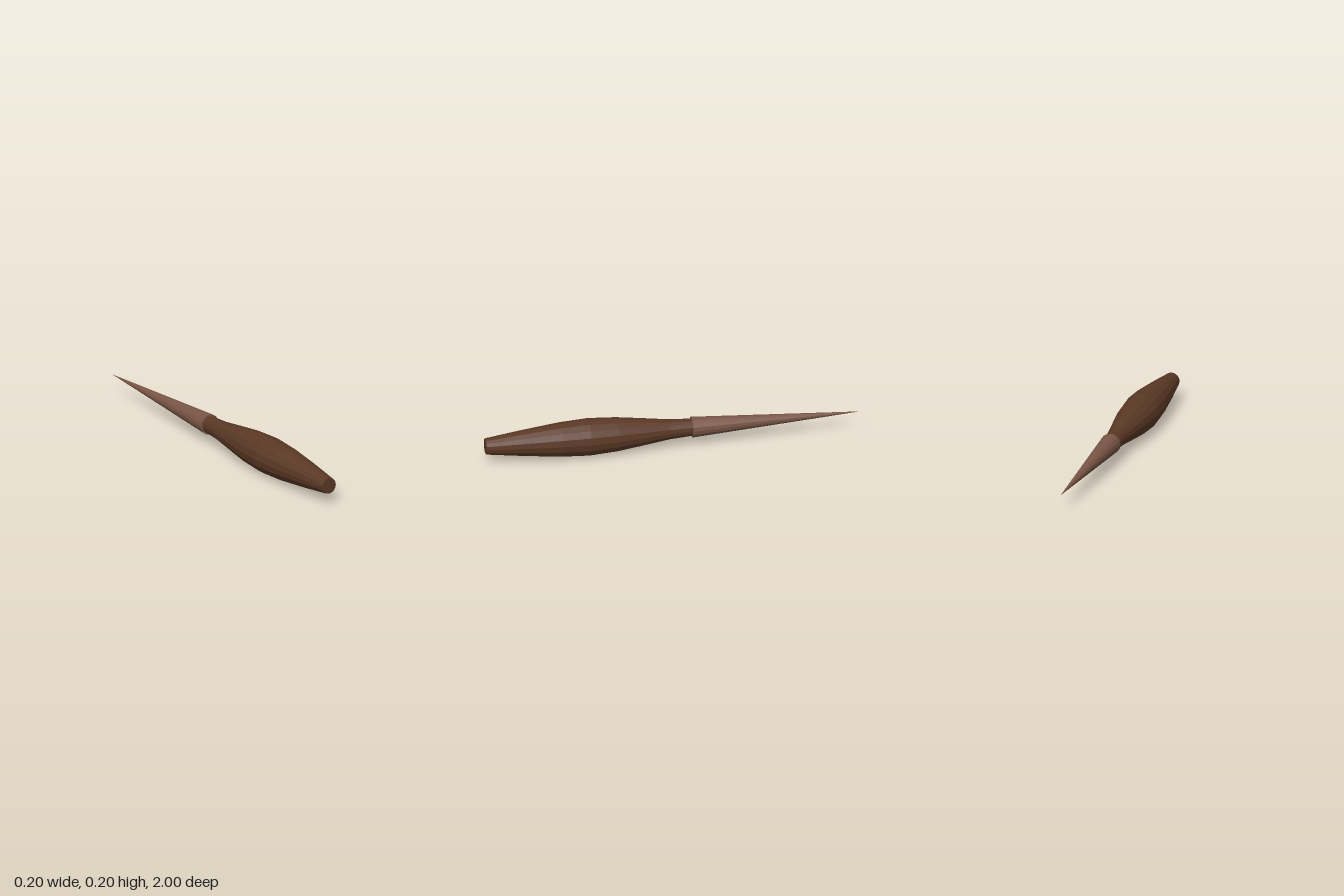
import * as THREE from 'three';

const SIDES = 16;
const AXIS_HEIGHT = 0.1;

// Turned part: profile of [radius, z] pairs, listed from back to front
function turned(name, profile, material) {
  const points = profile.map(([r, z]) => new THREE.Vector2(r, z));
  const geometry = new THREE.LatheGeometry(points, SIDES).toNonIndexed();
  geometry.rotateX(Math.PI / 2);
  geometry.computeVertexNormals();
  const mesh = new THREE.Mesh(geometry, material);
  mesh.name = name;
  mesh.position.y = AXIS_HEIGHT;
  return mesh;
}

export function createModel() {
  const handleWood = new THREE.MeshStandardMaterial({ color: 0x5a3825, flatShading: true });
  handleWood.name = 'darkWood';
  const spikeBrown = new THREE.MeshStandardMaterial({ color: 0x795546, flatShading: true });
  spikeBrown.name = 'lightBrown';

  const group = new THREE.Group();
  group.name = 'awl';

  // Swelling handle with flat ends
  group.add(turned('handle', [
    [0, -0.11], [0.045, -0.11], [0.053, 0.02], [0.072, 0.16], [0.09, 0.3],
    [0.099, 0.45], [0.091, 0.6], [0.069, 0.8], [0.043, 1], [0, 1],
  ], handleWood));

  // Long pointed spike with a slightly wider collar edge
  group.add(turned('spike', [[0, -1], [0.055, -0.1], [0, -0.1]], spikeBrown));

  return group;
}
